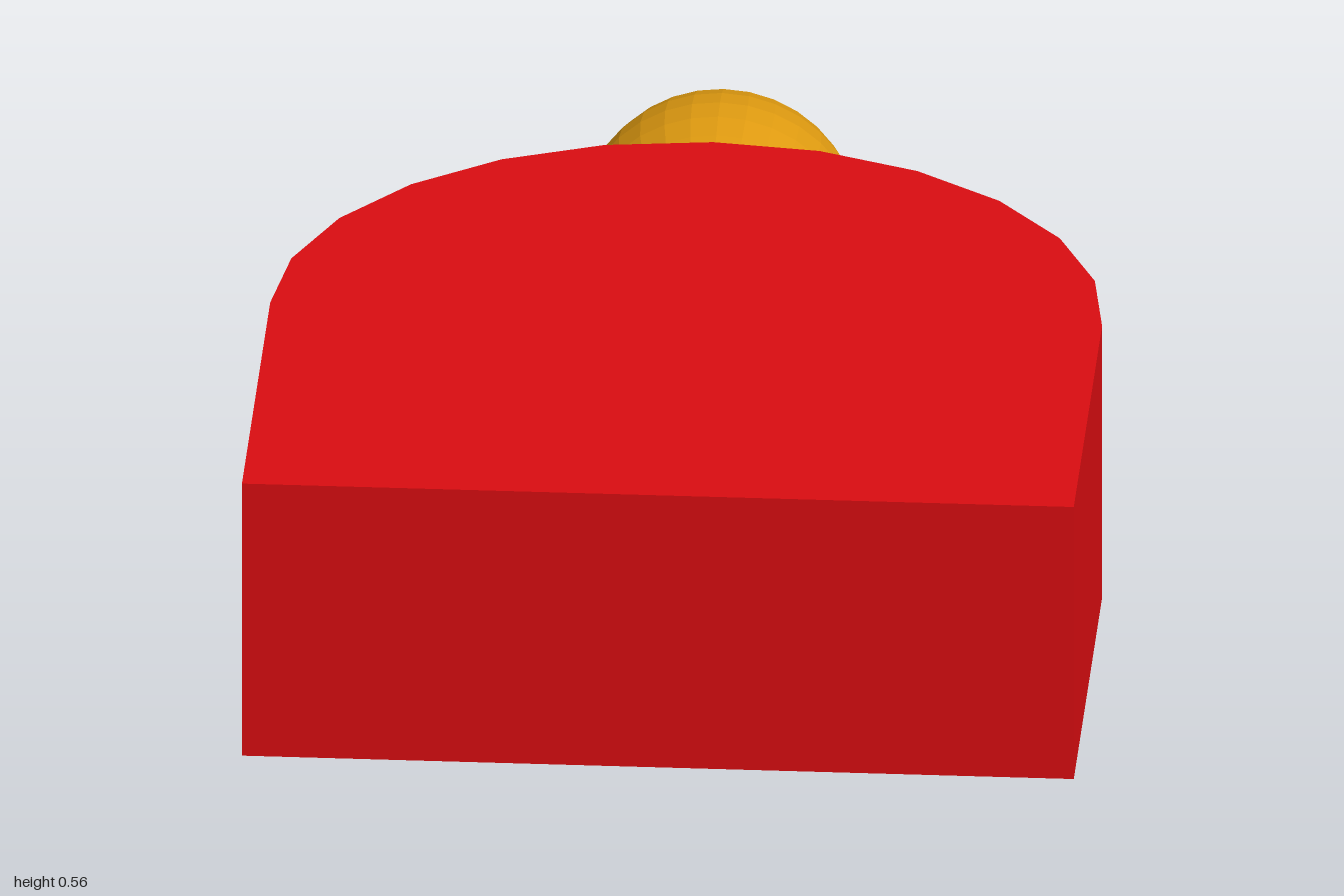
import * as THREE from 'three';

export function createModel() {
  const group = new THREE.Group();
  const halfWidth = 0.77, height = 0.555, front = 1, arcStart = 0.21, arcDepth = 0.75;

  // Slab outline: straight sides with a half-ellipse back in 12 facets
  const outline = [new THREE.Vector2(-halfWidth, -front), new THREE.Vector2(halfWidth, -front)];
  const facets = 12;
  for (let i = 0; i <= facets; i++) {
    const a = (Math.PI * i) / facets;
    outline.push(new THREE.Vector2(halfWidth * Math.cos(a), -arcStart + arcDepth * Math.sin(a)));
  }
  const slab = new THREE.ExtrudeGeometry(new THREE.Shape(outline), { depth: height, bevelEnabled: false });
  slab.rotateX(-Math.PI / 2); // outline lies flat, extruded upwards
  const body = new THREE.Mesh(slab, new THREE.MeshStandardMaterial({ color: 0xdb0d11, flatShading: true }));
  body.name = 'body';
  group.add(body);

  // Faceted ball on the rounded back, poles along z
  const radius = 0.265;
  const sphere = new THREE.SphereGeometry(radius, 32, 16);
  sphere.rotateX(-Math.PI / 2);
  const ball = new THREE.Mesh(sphere, new THREE.MeshStandardMaterial({ color: 0xdd9910, flatShading: true }));
  ball.name = 'ball';
  ball.position.set(0, 0.28, -1 + radius);
  group.add(ball);

  return group;
}
